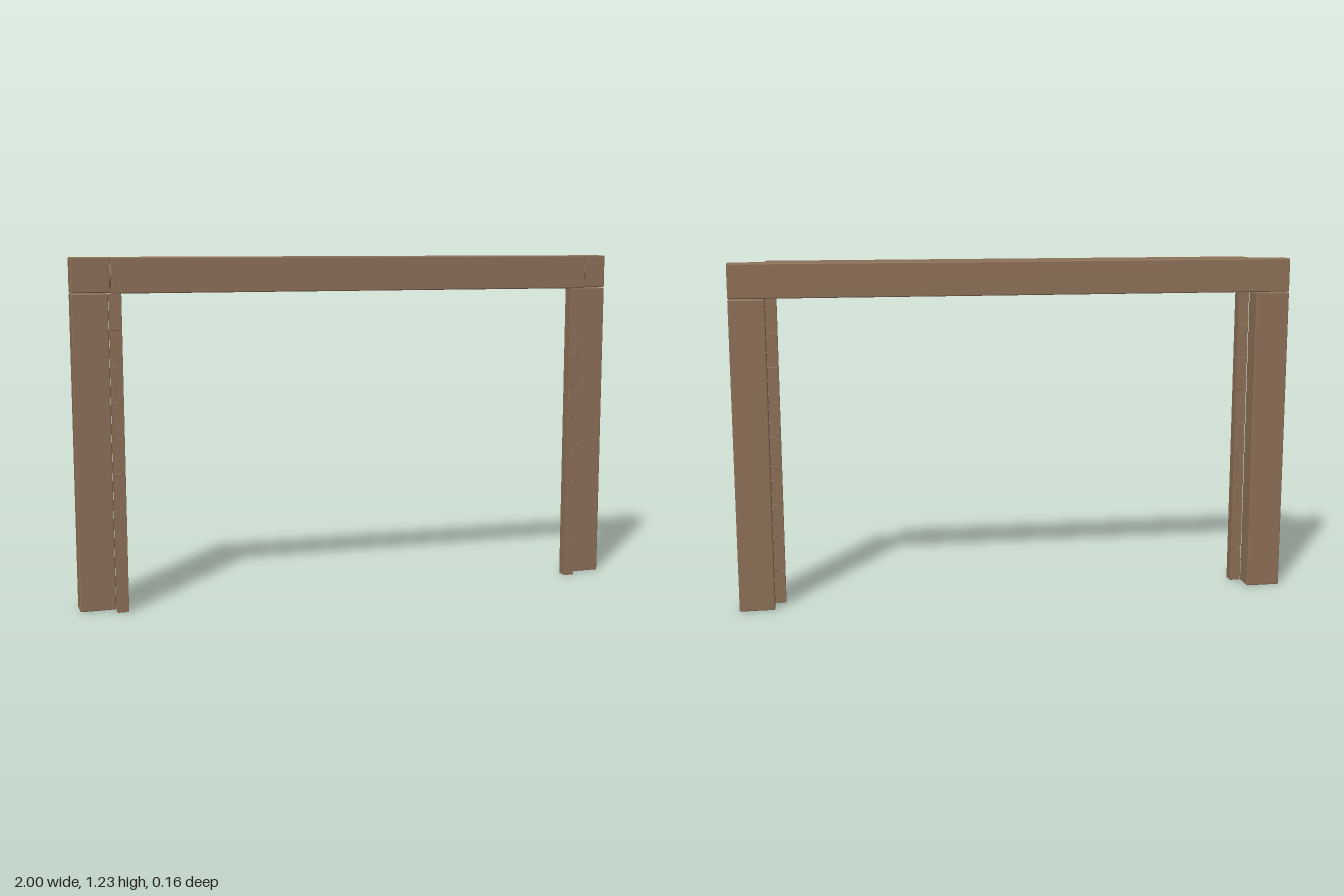
import * as THREE from 'three';
import { RoundedBoxGeometry } from 'three/addons/geometries/RoundedBoxGeometry.js';

export function createModel() {
  const group = new THREE.Group();
  const wood = new THREE.MeshStandardMaterial({ color: 0x8c6f57 });
  wood.name = 'brown wood';

  const add = (name, geometry, x, y, z) => {
    const mesh = new THREE.Mesh(geometry, wood);
    mesh.name = name;
    mesh.position.set(x, y, z);
    group.add(mesh);
    return mesh;
  };
  // Softly bevelled beam given by its limits on each axis
  const beam = (name, x0, x1, y0, y1, z0, z1, r = 0.004) =>
    add(name, new RoundedBoxGeometry(x1 - x0, y1 - y0, z1 - z0, 2, r),
      (x0 + x1) / 2, (y0 + y1) / 2, (z0 + z1) / 2);

  // Rear lintel and the housing in front of it
  beam('lintel', -1, 1, 1.106, 1.226, -0.08, -0.001);
  beam('housing', -0.874, 0.874, 1.106, 1.226, 0.002, 0.081);

  const slatCount = 9;
  const pitch = 1.104 / slatCount;
  for (const side of [-1, 1]) {
    const label = side > 0 ? 'left' : 'right';
    const span = (a, b) => (side > 0 ? [a, b] : [-b, -a]);

    // Upright post
    beam(label + 'Post', ...span(0.876, 1), 0, 1.104, -0.08, -0.001);

    // Round end cap on the housing
    const cap = add(label + 'EndCap', new THREE.CylinderGeometry(0.04, 0.04, 0.012, 32),
      side * 0.873, 1.166, 0.0415);
    cap.rotation.z = Math.PI / 2;

    // Guide strip made of stacked blocks
    for (let i = 0; i < slatCount; i++) {
      beam(label + 'GuideBlock' + (i + 1), ...span(0.837, 0.876),
        i * pitch, (i + 1) * pitch, 0, 0.042, 0.001);
    }
  }
  return group;
}
